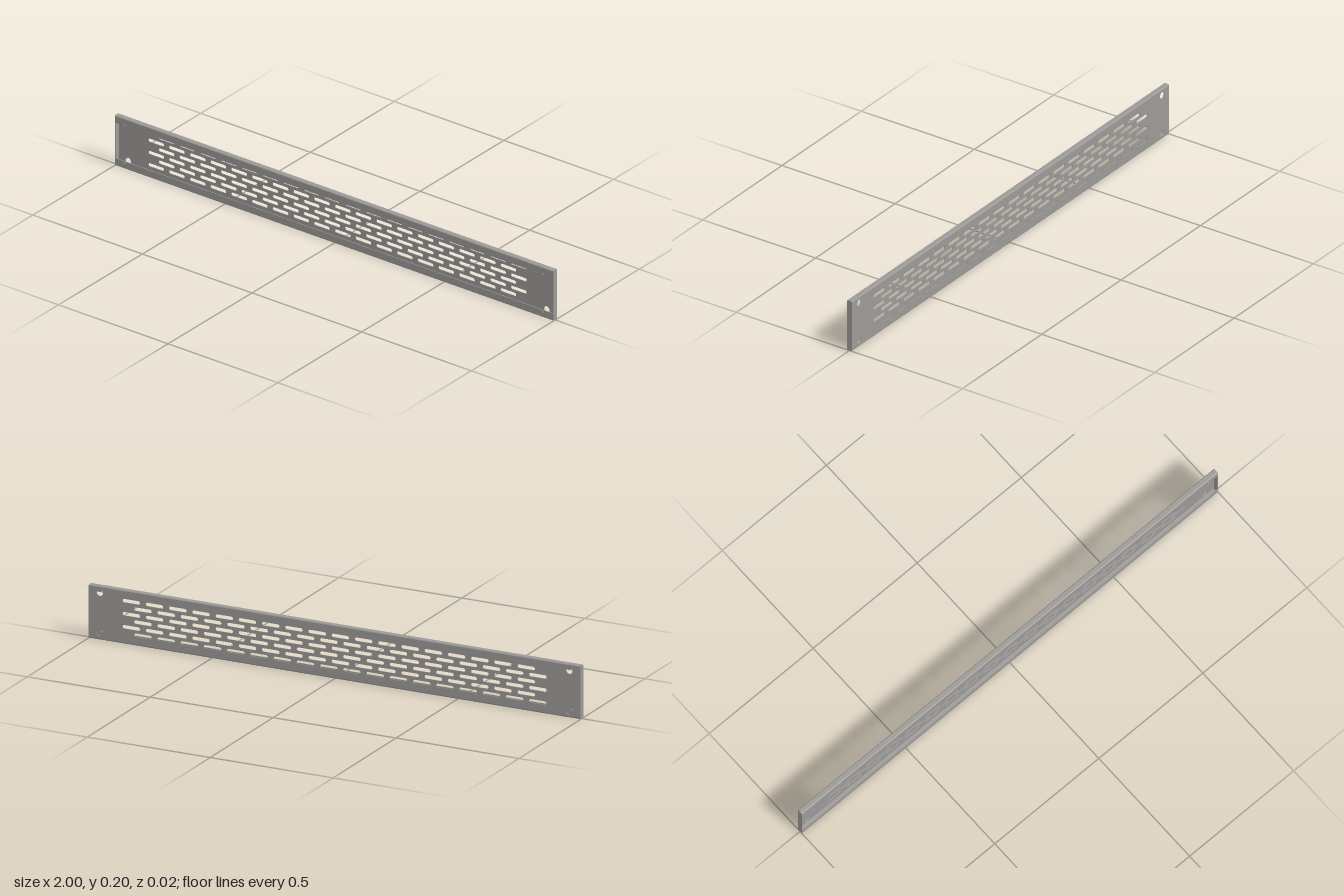
import * as THREE from 'three';

const W = 2, H = 0.205, D = 0.023, T = 0.003, R = 0.005; // width, height, depth, sheet, bend radius
const LIP = 0.03;

const steel = new THREE.MeshStandardMaterial({ color: 0x9c9a97 });
steel.name = 'brushedSteel';

function rect(x0, y0, x1, y1) {
  const s = new THREE.Shape();
  s.moveTo(x0, y0).lineTo(x1, y0).lineTo(x1, y1).lineTo(x0, y1).closePath();
  return s;
}

function roundHole(x, y, r) {
  const p = new THREE.Path();
  p.absarc(x, y, r, 0, Math.PI * 2, true);
  return p;
}

function slotHole(x0, x1, y, r) {
  const p = new THREE.Path();
  p.absarc(x0 + r, y, r, Math.PI * 1.5, Math.PI / 2, true);
  p.absarc(x1 - r, y, r, Math.PI / 2, -Math.PI / 2, true);
  p.closePath();
  return p;
}

function sheet(name, shape, depth = T) {
  const geo = new THREE.ExtrudeGeometry(shape, { depth, bevelEnabled: false, curveSegments: 8 });
  const mesh = new THREE.Mesh(geo, steel);
  mesh.name = name;
  return mesh;
}

export function createModel() {
  const panel = new THREE.Group();
  panel.name = 'ventPanel';
  const holeX = W / 2 - 0.045, holeY = 0.025;

  // Back plate with staggered slots and corner mounting holes
  const plate = rect(-W / 2, R, W / 2, H - R);
  const pitch = 0.0945, length = 0.0715, count = 18;
  for (let row = 0; row < 6; row++) {
    const y = H / 2 + (row - 2.5) * 0.025;
    const start = -0.8625 + (row % 2) * pitch / 2;
    for (let i = 0; i < count; i++) {
      const x = start + i * pitch;
      plate.holes.push(slotHole(x, x + length, y, 0.0068));
    }
  }
  for (const x of [-holeX, holeX])
    for (const y of [holeY, H - holeY]) plate.holes.push(roundHole(x, y, 0.013));
  const back = sheet('slottedPlate', plate);
  back.position.z = -D / 2;
  panel.add(back);

  for (const top of [false, true]) {
    const side = top ? 'top' : 'bottom';

    // Flange with rounded bends, as a channel section swept along x
    const d = D / 2, h = H / 2, r = R - T;
    const bend = new THREE.Shape();
    bend.moveTo(d, h - R);
    bend.absarc(d - R, h - R, R, 0, Math.PI / 2, false);
    bend.absarc(-d + R, h - R, R, Math.PI / 2, Math.PI, false);
    bend.lineTo(-d + T, h - R);
    bend.absarc(-d + R, h - R, r, Math.PI, Math.PI / 2, true);
    bend.absarc(d - R, h - R, r, Math.PI / 2, 0, true);
    bend.closePath();
    const flange = sheet(side + 'Flange', bend, W);
    flange.geometry.translate(0, 0, -W / 2).rotateY(Math.PI / 2);
    if (!top) flange.geometry.rotateX(Math.PI);
    flange.position.y = H / 2;
    panel.add(flange);

    // Return lip at the front, with small pilot holes
    const lipShape = top ? rect(-W / 2, H - LIP, W / 2, H - R) : rect(-W / 2, R, W / 2, LIP);
    for (const x of [-holeX, holeX])
      lipShape.holes.push(roundHole(x, top ? H - holeY : holeY, 0.004));
    const lip = sheet(side + 'Lip', lipShape);
    lip.position.z = D / 2 - T;
    panel.add(lip);
  }

  // End flanges closing the left and right sides
  for (const s of [-1, 1]) {
    const end = new THREE.Mesh(new THREE.BoxGeometry(T, H - 2 * T, D - 0.0004), steel);
    end.name = s > 0 ? 'leftEndFlange' : 'rightEndFlange';
    end.position.set(s * (W - T) / 2, H / 2, 0);
    panel.add(end);
  }
  return panel;
}
